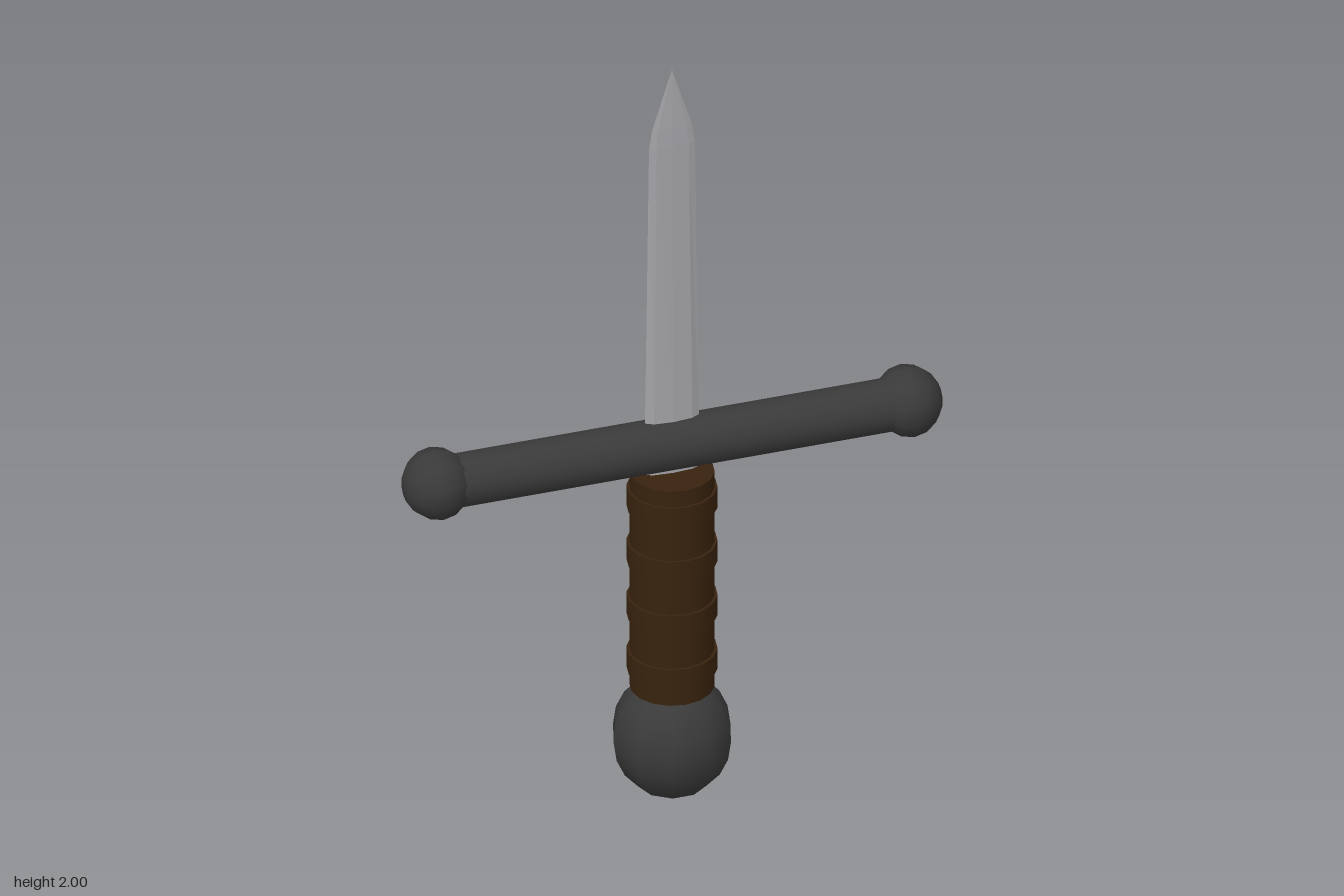
import * as THREE from 'three';

const mat = (name, color, extra = {}) => {
  const m = new THREE.MeshStandardMaterial({ color, ...extra });
  m.name = name;
  return m;
};

export function createModel() {
  const group = new THREE.Group();
  const iron = mat('dark iron', 0x3a3a3a);
  const leather = mat('brown leather', 0x38230e);
  const steel = mat('steel', 0xa5a4a8, { flatShading: true });

  const add = (name, geometry, material, x, y) => {
    const mesh = new THREE.Mesh(geometry, material);
    mesh.name = name;
    mesh.position.set(x, y, 0);
    group.add(mesh);
    return mesh;
  };

  // Pommel: slightly tall ten-sided ball
  add('pommel', new THREE.SphereGeometry(0.147, 10, 10), iron, 0, 0.162).scale.y = 1.1;

  // Grip with four wrapped bands
  add('grip', new THREE.CylinderGeometry(0.102, 0.102, 0.593, 16), leather, 0, 0.5935);
  for (let i = 0; i < 4; i++) {
    add('gripBand', new THREE.CylinderGeometry(0.109, 0.109, 0.055, 16), leather, 0, 0.372 + i * 0.149);
  }

  // Crossguard with a ball at each end
  add('crossguard', new THREE.CylinderGeometry(0.066, 0.066, 1.16, 16).rotateZ(Math.PI / 2), iron, 0, 0.966);
  for (const side of [-1, 1]) {
    const ball = new THREE.SphereGeometry(0.089, 10, 8).rotateZ(Math.PI / 2);
    add(side > 0 ? 'leftGuardBall' : 'rightGuardBall', ball, iron, side * 0.594, 0.968).scale.x = 0.94;
  }

  // Blade: flattened eight-sided profile, thinning toward the tip
  const profile = [[0, 0.88], [0.07, 0.88], [0.068, 1.03], [0.058, 1.79], [0.05, 1.84], [0, 2]]
    .map(([r, y]) => new THREE.Vector2(r, y));
  const blade = new THREE.LatheGeometry(profile, 8);
  const p = blade.attributes.position;
  for (let i = 0; i < p.count; i++) {
    p.setZ(i, p.getZ(i) * (0.19 - 0.09 * (p.getY(i) - 0.88)));
  }
  blade.computeVertexNormals();
  add('blade', blade, steel, 0, 0);

  return group;
}
